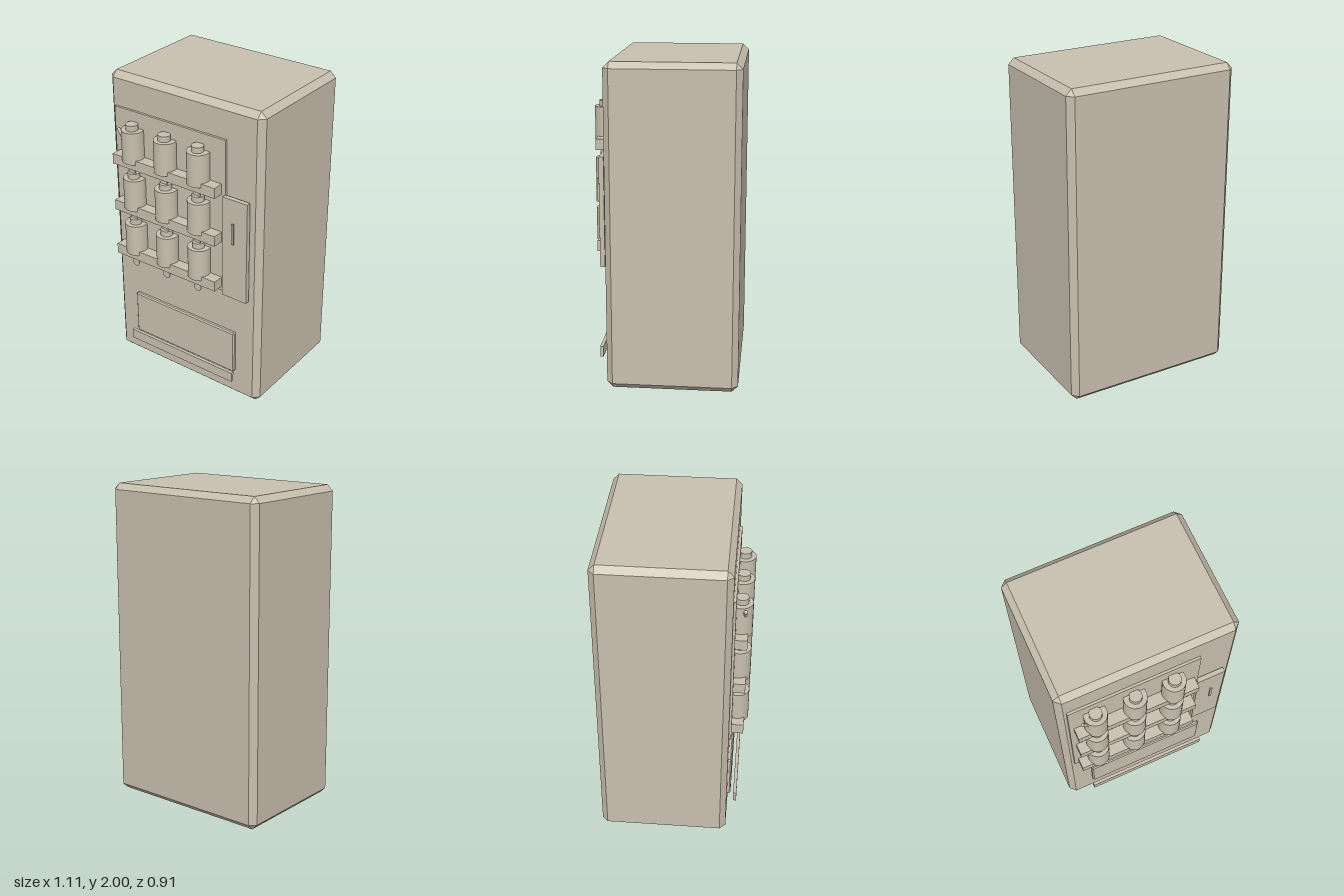
import * as THREE from 'three';
import { ConvexGeometry } from 'three/addons/geometries/ConvexGeometry.js';

// Box between two corners with every edge and corner cut off by c
function chamferBox([x0, y0, z0], [x1, y1, z1], c) {
  const points = [];
  for (const [x, dx] of [[x0, c], [x1, -c]])
    for (const [y, dy] of [[y0, c], [y1, -c]])
      for (const [z, dz] of [[z0, c], [z1, -c]])
        points.push(
          new THREE.Vector3(x, y + dy, z + dz),
          new THREE.Vector3(x + dx, y, z + dz),
          new THREE.Vector3(x + dx, y + dy, z));
  return new ConvexGeometry(points);
}

// Plain box between two corners
function box([x0, y0, z0], [x1, y1, z1]) {
  return new THREE.BoxGeometry(x1 - x0, y1 - y0, z1 - z0)
    .translate((x0 + x1) / 2, (y0 + y1) / 2, (z0 + z1) / 2);
}

export function createModel() {
  const model = new THREE.Group();
  model.name = 'vendingMachine';
  const stone = new THREE.MeshStandardMaterial({ color: 0xc8bfae });
  stone.name = 'warm grey';

  const add = (name, geometry, parent = model) => {
    const mesh = new THREE.Mesh(geometry, stone);
    mesh.name = name;
    parent.add(mesh);
    return mesh;
  };

  // Cabinet and its front panels
  add('cabinet', chamferBox([-0.557, 0, -0.456], [0.557, 2, 0.347], 0.037));
  add('displayPanel', box([-0.503, 0.772, 0.34], [0.317, 1.787, 0.362]));
  add('controlPanel', box([0.312, 0.762, 0.355], [0.487, 1.437, 0.384]));
  add('coinSlot', box([0.392, 1.153, 0.398], [0.407, 1.29, 0.408]));

  // Delivery flap with its lip
  add('deliveryFlap', chamferBox([-0.393, 0.193, 0.335], [0.39, 0.49, 0.369], 0.008));
  add('deliveryLip', box([-0.405, 0.148, 0.387], [0.402, 0.214, 0.408]));

  // Three shelves, each with three bottles and round buttons below
  const rows = [1.437, 1.117, 0.8];
  const columns = [-0.348, -0.102, 0.142];
  rows.forEach((y) => {
    const row = new THREE.Group();
    row.name = 'shelfRow';
    model.add(row);
    add('shelf', box([-0.476, y, 0.355], [0.291, y + 0.067, 0.433]), row);
    for (const x of columns) {
      add('bottle', new THREE.CylinderGeometry(0.07, 0.07, 0.208, 32), row)
        .position.set(x, y + 0.144, 0.387);
      add('bottleCap', new THREE.CylinderGeometry(0.038, 0.038, 0.04, 32), row)
        .position.set(x, y + 0.264, 0.392);
      add('button', new THREE.CylinderGeometry(0.027, 0.027, 0.007, 24).rotateX(Math.PI / 2), row)
        .position.set(x, y - 0.037, 0.404);
    }
  });

  // Small slanted spout beside the first bottle
  const spout = add('spout', new THREE.CylinderGeometry(0.011, 0.011, 0.07, 12));
  spout.position.set(-0.417, 1.65, 0.414);
  spout.rotation.z = 0.62;

  return model;
}
